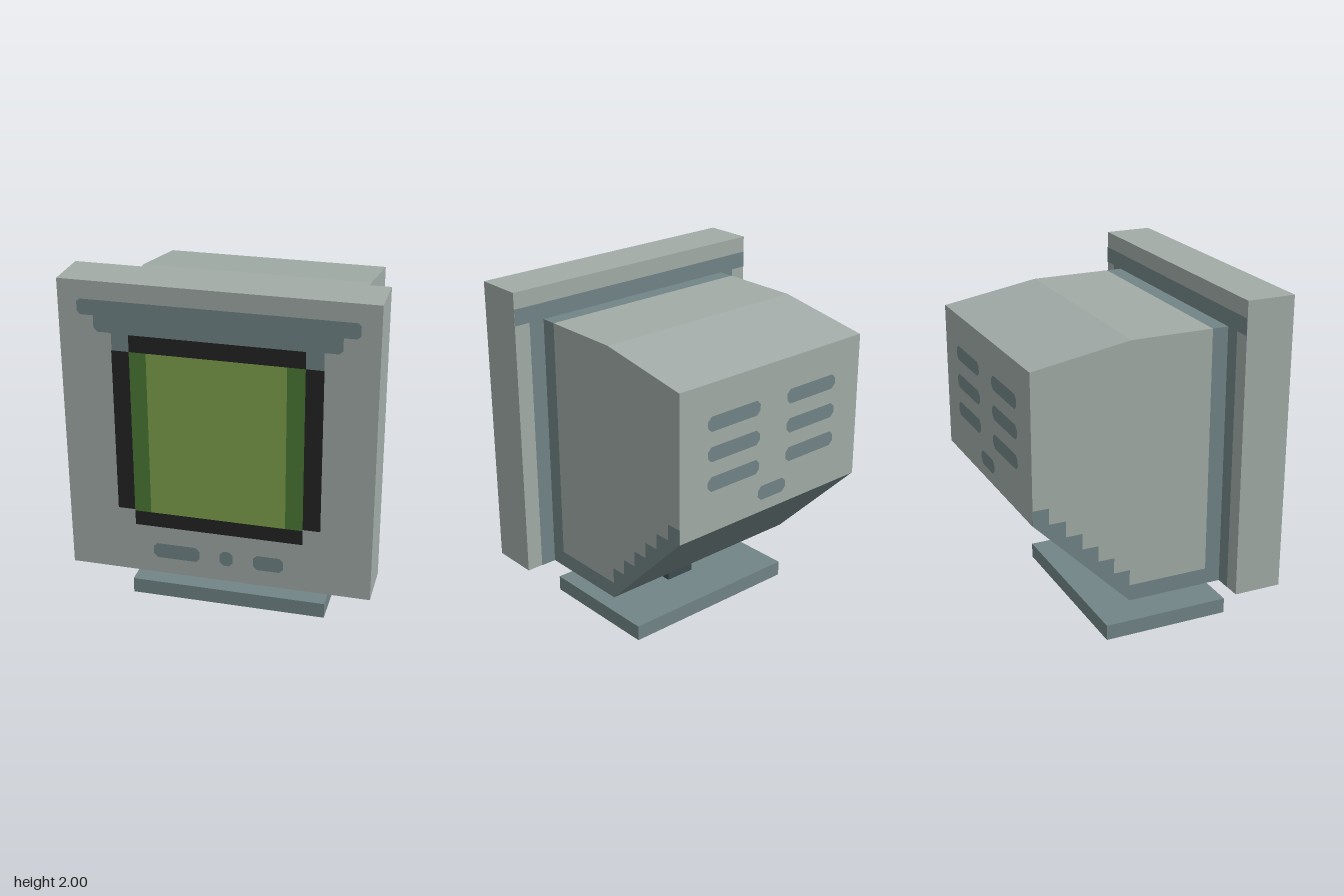
import * as THREE from 'three';

const mat = (name, color) => {
  const m = new THREE.MeshStandardMaterial({ color });
  m.name = name;
  return m;
};

export function createModel() {
  const grey = mat('casing grey', 0xa1aba6);
  const slate = mat('slate trim', 0x718486);
  const dark = mat('dark slate', 0x3e4b51);
  const black = mat('black frame', 0x232323);
  const green = mat('screen green', 0x7ea14c);
  const deepGreen = mat('screen edge green', 0x4b7a37);

  const model = new THREE.Group();
  const add = (name, geometry, material, parent = model) => {
    const mesh = new THREE.Mesh(geometry, material);
    mesh.name = name;
    parent.add(mesh);
    return mesh;
  };
  // box from its min and max corners
  const box = (name, [x0, y0, z0], [x1, y1, z1], material) =>
    add(name, new THREE.BoxGeometry(x1 - x0, y1 - y0, z1 - z0)
      .translate((x0 + x1) / 2, (y0 + y1) / 2, (z0 + z1) / 2), material);
  const polygon = (pts) => new THREE.Shape(pts.map(([a, b]) => new THREE.Vector2(a, b)));

  // rectangle with cut corners
  const chip = (x0, y0, x1, y1, c = 0.018) => polygon([
    [x0 + c, y0], [x1 - c, y0], [x1, y0 + c], [x1, y1 - c],
    [x1 - c, y1], [x0 + c, y1], [x0, y1 - c], [x0, y0 + c]]);
  const rect = (x0, y0, x1, y1) => polygon([[x0, y0], [x1, y0], [x1, y1], [x0, y1]]);

  // flat painted panels facing forwards or backwards
  const frontPanel = (name, shape, z, material) =>
    add(name, new THREE.ShapeGeometry(shape).translate(0, 0, z), material);
  const backPanel = (name, shape, z, material) =>
    add(name, new THREE.ShapeGeometry(shape).rotateY(Math.PI).translate(0, 0, z), material);

  // side profile (z, y) extruded across the width of the housing
  const W = 0.667;
  const sideExtrude = (name, pts, material) =>
    add(name, new THREE.ExtrudeGeometry(polygon(pts), { depth: 2 * W, bevelEnabled: false })
      .rotateY(-Math.PI / 2).translate(W, 0, 0), material);

  // bezel slab
  const F = 0.711, B = 0.43;
  box('bezel', [-0.857, 0.287, B], [0.857, 2, F], grey);

  // housing: grey shell above a slate band that climbs the rear slope in steps
  const steps = [[0.335, 0.382], [-0.143, 0.382]];
  for (let i = 0; i < 6; i++) {
    const z = -0.143 - 0.0953 * i, y = 0.477 + 0.0938 * i;
    steps.push([z, y], [i === 5 ? -0.712 : z - 0.0953, y]);
  }
  sideExtrude('housingShell',
    [[0.335, 1.81], ...steps, [-0.712, 1.715], [-0.143, 1.81]], grey);
  sideExtrude('housingTrim',
    [[B, 0.287], [B, 1.81], [0.335, 1.81], ...steps, [-0.712, 0.859], [-0.143, 0.287]], slate);
  backPanel('rearPanel', rect(-W, 0.859, W, 1.715), -0.7135, grey);

  // rear vents
  for (let row = 0; row < 3; row++) {
    const y = 1.53 - 0.172 * row;
    for (const x of [-0.475, 0.1]) {
      backPanel('rearVent', chip(x, y - 0.085, x + 0.375, y, 0.025), -0.715, slate);
    }
  }
  backPanel('rearPort', chip(-0.105, 0.93, 0.105, 1.015, 0.025), -0.715, slate);

  // trim behind the bezel
  backPanel('bezelBackStripe', rect(-0.857, 1.81, 0.857, 1.905), B - 0.002, slate);
  for (const s of [-1, 1]) {
    const x = s * 0.714;
    backPanel('bezelBackColumn', rect(x - 0.047, 0.287, x + 0.047, 1.81), B - 0.002, slate);
  }

  // stepped trim above the screen
  const half = [[0.57, 1.62], [0.57, 1.72], [0.645, 1.72], [0.665, 1.74], [0.665, 1.81],
    [0.735, 1.81], [0.753, 1.828], [0.753, 1.88], [0.735, 1.897]];
  const mirrored = half.map(([x, y]) => [-x, y]).reverse();
  frontPanel('screenBrow', polygon([...half, ...mirrored]), F + 0.001, slate);

  // screen frame and glass
  frontPanel('screenFrame', polygon([
    [-0.475, 0.582], [0.475, 0.582], [0.475, 0.677], [0.572, 0.677], [0.572, 1.622], [0.475, 1.622],
    [0.475, 1.717], [-0.475, 1.717], [-0.475, 1.622], [-0.572, 1.622], [-0.572, 0.677], [-0.475, 0.677],
  ]), F + 0.002, black);
  frontPanel('screen', rect(-0.382, 0.67, 0.378, 1.622), F + 0.003, green);
  frontPanel('screenEdgeRight', rect(-0.475, 0.67, -0.382, 1.622), F + 0.003, deepGreen);
  frontPanel('screenEdgeLeft', rect(0.378, 0.67, 0.475, 1.622), F + 0.003, deepGreen);

  // front controls
  for (const [x0, x1] of [[-0.375, -0.108], [0.008, 0.083], [0.198, 0.37]]) {
    frontPanel('control', chip(x0, 0.385, x1, 0.475, 0.022), F + 0.002, slate);
  }

  // stand
  box('standNeck', [-0.095, 0.095, 0.05], [0.095, 0.287, 0.238], dark);
  box('standBase', [-0.571, 0.003, -0.237], [0.571, 0.095, 0.525], slate);
  add('standUnderside', new THREE.PlaneGeometry(1.142, 0.762)
    .rotateX(Math.PI / 2).translate(0, 0.0015, 0.144), dark);
  for (const x of [-0.44, 0.44]) {
    for (const z of [-0.095, 0.375]) {
      add('foot', new THREE.CircleGeometry(0.042, 8)
        .rotateX(Math.PI / 2).translate(x, 0, z), black);
    }
  }

  return model;
}
